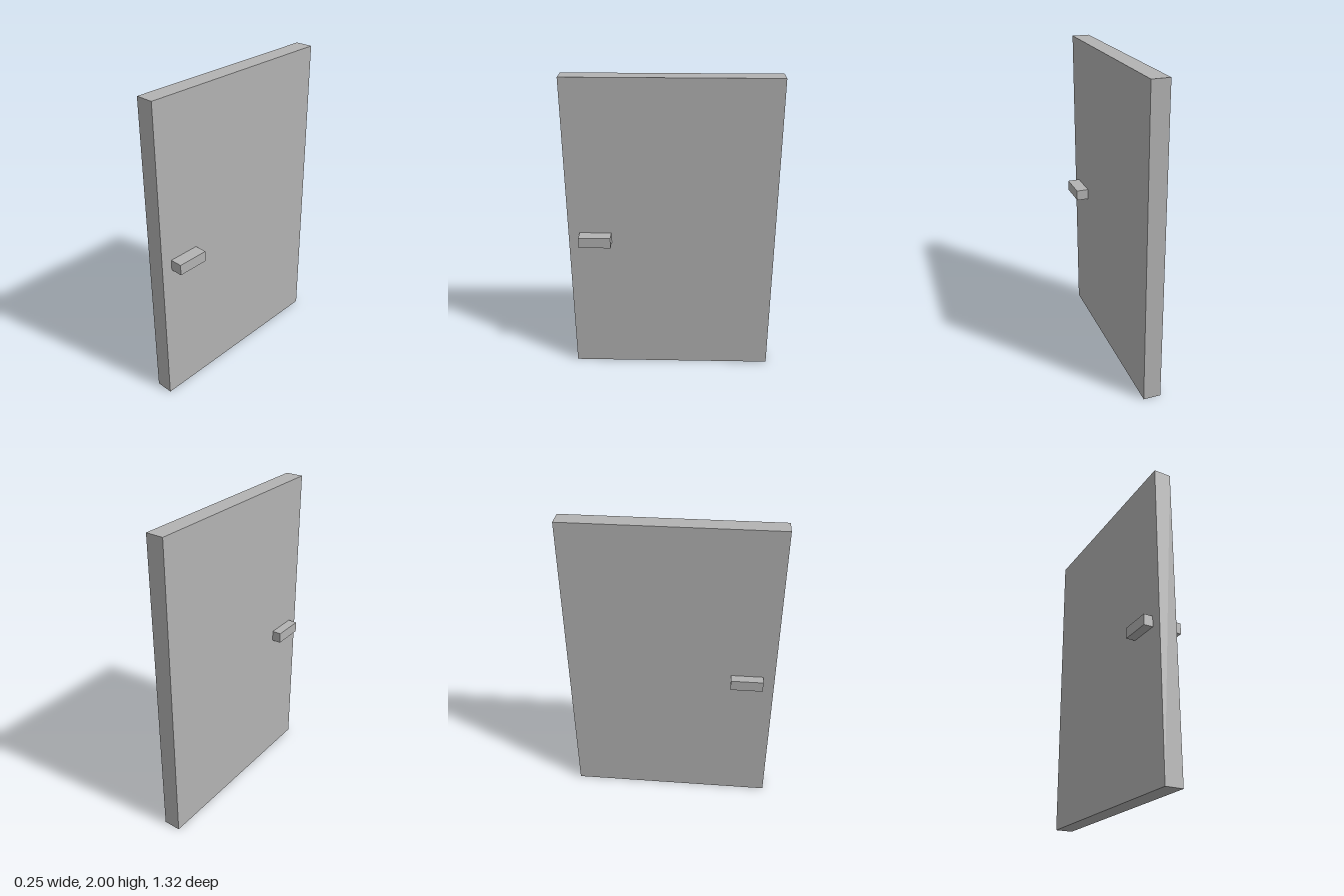
import * as THREE from 'three';

const grey = new THREE.MeshStandardMaterial({ color: 0xb3b3b3 });
grey.name = 'grey';

// Box given by its lower and upper corners
function addBox(group, name, [x0, y0, z0], [x1, y1, z1]) {
  const mesh = new THREE.Mesh(new THREE.BoxGeometry(x1 - x0, y1 - y0, z1 - z0), grey);
  mesh.position.set((x0 + x1) / 2, (y0 + y1) / 2, (z0 + z1) / 2);
  mesh.name = name;
  group.add(mesh);
}

export function createModel() {
  const door = new THREE.Group();
  door.name = 'door';

  // Slab, slightly off centre because the handles differ in depth
  const right = -0.067, left = 0.045;
  addBox(door, 'doorPanel', [right, 0, -0.66], [left, 2, 0.66]);

  // One block handle on each face
  addBox(door, 'leftHandle', [left, 0.931, 0.385], [0.124, 1, 0.588]);
  addBox(door, 'rightHandle', [-0.126, 0.931, 0.385], [right, 1, 0.588]);

  return door;
}
